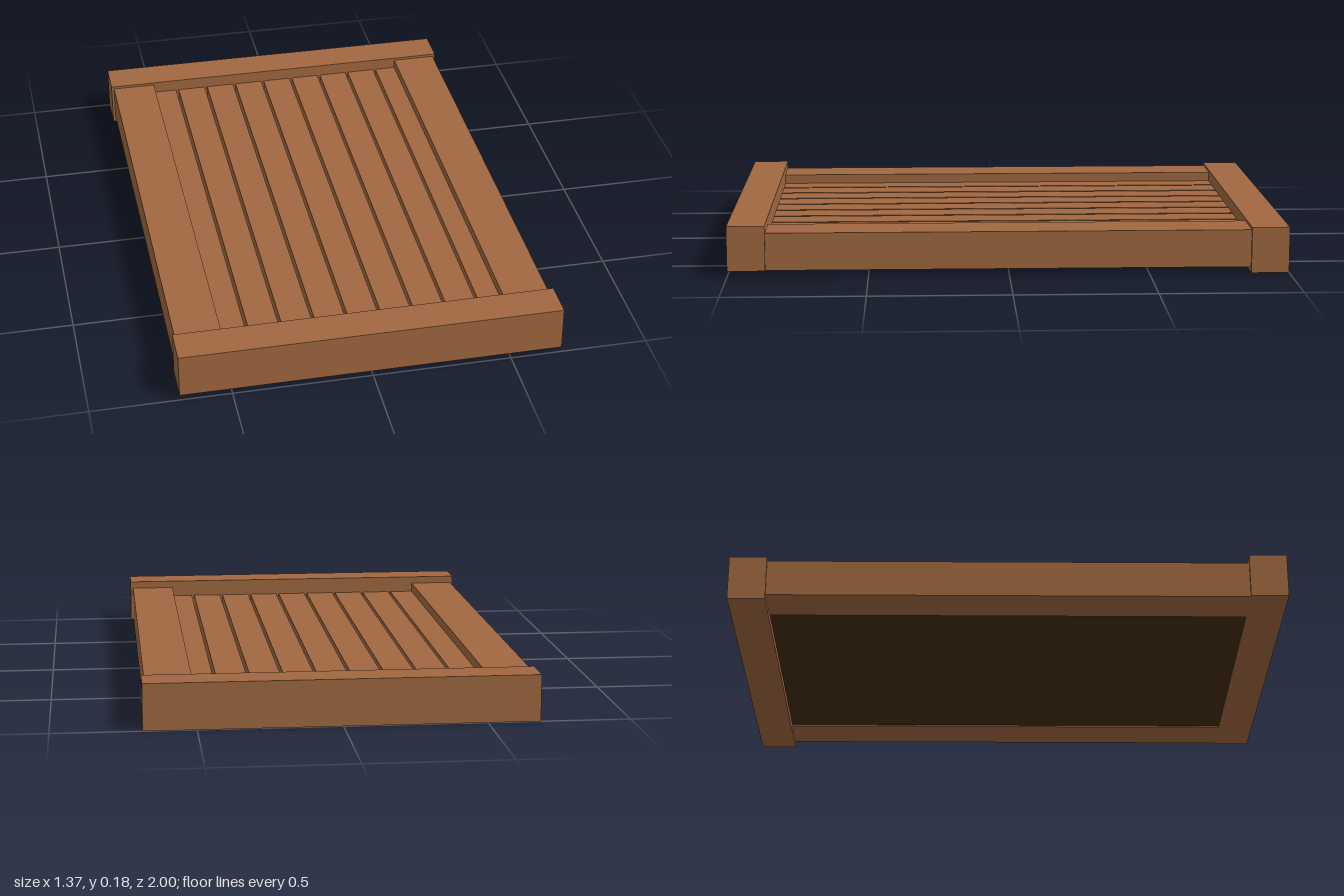
import * as THREE from 'three';

export function createModel() {
  const wood = new THREE.MeshStandardMaterial({ color: 0xa06840 });
  wood.name = 'brown wood';
  const dark = new THREE.MeshStandardMaterial({ color: 0x452c13 });
  dark.name = 'dark wood';

  const group = new THREE.Group();
  group.name = 'slattedPanel';

  // Box given by its extents along each axis
  const box = (name, material, [x0, x1], [y0, y1], [z0, z1]) => {
    const mesh = new THREE.Mesh(new THREE.BoxGeometry(x1 - x0, y1 - y0, z1 - z0), material);
    mesh.position.set((x0 + x1) / 2, (y0 + y1) / 2, (z0 + z1) / 2);
    mesh.name = name;
    group.add(mesh);
  };

  const innerX = 0.51;
  const innerZ = 0.865;

  // End rails: the front one sits slightly higher than the back one
  box('frontRail', wood, [-0.685, 0.685], [0.02, 0.182], [innerZ, 1]);
  box('backRail', wood, [-0.685, 0.685], [0, 0.165], [-1, -innerZ]);

  // Side rails
  box('leftRail', wood, [innerX, 0.675], [0.02, 0.155], [-innerZ, innerZ]);
  box('rightRail', wood, [-0.675, -innerX], [0.02, 0.155], [-innerZ, innerZ]);

  // Dark backing board under the slats
  box('backingBoard', dark, [-innerX, innerX], [0.026, 0.045], [-innerZ, innerZ]);

  // Slats, separated by narrow gaps
  const gap = 0.011;
  const pitch = 0.1195;
  const firstGap = -0.413;
  for (let i = 0; i <= 8; i++) {
    const start = i === 0 ? -innerX : firstGap + (i - 1) * pitch + gap / 2;
    const end = i === 8 ? innerX : firstGap + i * pitch - gap / 2;
    box('slat' + (i + 1), wood, [start, end], [0.045, 0.12], [-innerZ, innerZ]);
  }

  return group;
}
